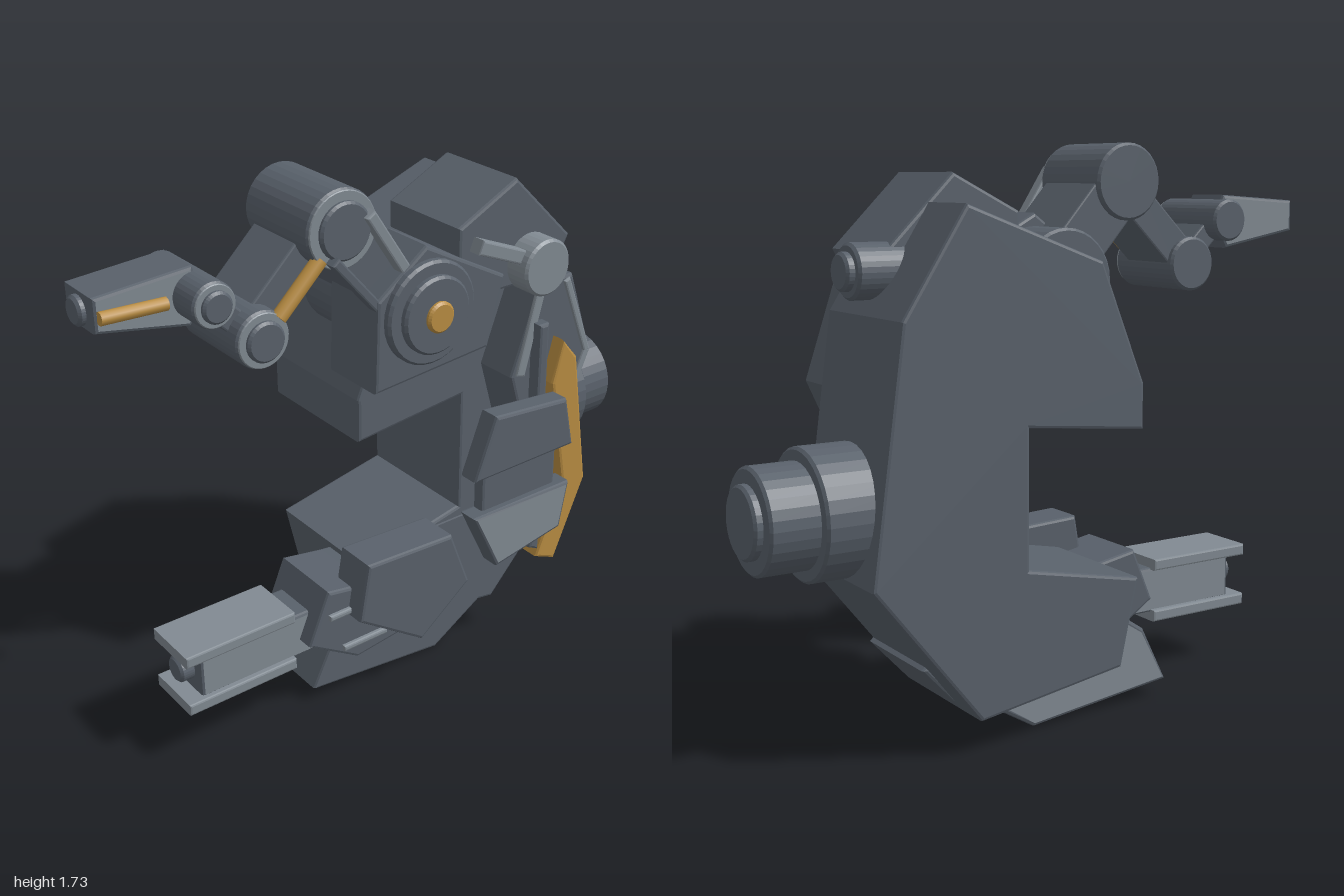
import * as THREE from 'three';

const mat = (name, color) => {
  const m = new THREE.MeshStandardMaterial({ color });
  m.name = name;
  return m;
};

export function createModel() {
  const root = new THREE.Group();
  const dark = mat('slate', 0x59616b);
  const light = mat('lightGrey', 0x818a92);
  const amber = mat('amber', 0xb98d42);

  const add = (name, geometry, material) => {
    const m = new THREE.Mesh(geometry, material);
    m.name = name;
    root.add(m);
    return m;
  };

  // bevelled outline plate between two depths
  const plate = (name, pts, z0, z1, material = dark, b = 0.01) => {
    const shape = new THREE.Shape(pts.map(p => new THREE.Vector2(p[0], p[1])));
    const g = new THREE.ExtrudeGeometry(shape, {
      depth: z1 - z0 - 2 * b, bevelEnabled: b > 0, bevelThickness: b,
      bevelSize: b, bevelOffset: -b, bevelSegments: 2, curveSegments: 24
    });
    g.translate(0, 0, z0 + b);
    return add(name, g, material);
  };

  // drum with chamfered rims, along z or x
  const drum = (name, a, b, r, from, to, material = dark, axis = 'z') => {
    const c = Math.min(0.008, (to - from) / 3), h = to - from;
    const pts = [[0, 0], [r - c, 0], [r, c], [r, h - c], [r - c, h], [0, h]];
    const g = new THREE.LatheGeometry(pts.map(p => new THREE.Vector2(p[0], p[1])), 32).toNonIndexed();
    g.computeVertexNormals();
    if (axis === 'z') g.rotateX(Math.PI / 2).translate(a, b, from);
    else g.rotateZ(-Math.PI / 2).translate(from, a, b);
    return add(name, g, material);
  };

  // straight bar with rectangular section between two points in the front plane
  const bar = (name, p, q, w, z0, z1, material = dark) => {
    const dx = q[0] - p[0], dy = q[1] - p[1], l = Math.hypot(dx, dy);
    const nx = -dy / l * w / 2, ny = dx / l * w / 2;
    return plate(name, [[p[0] - nx, p[1] - ny], [q[0] - nx, q[1] - ny],
      [q[0] + nx, q[1] + ny], [p[0] + nx, p[1] + ny]], z0, z1, material, 0.006);
  };

  // round rod
  const rod = (name, p, q, r, z, material) => {
    const path = new THREE.LineCurve3(new THREE.Vector3(p[0], p[1], z), new THREE.Vector3(q[0], q[1], z));
    const m = add(name, new THREE.CylinderGeometry(r, r, path.getLength(), 12), material);
    m.position.copy(path.getPoint(0.5));
    m.quaternion.setFromUnitVectors(new THREE.Vector3(0, 1, 0), path.getTangent(0));
  };

  // main C-shaped frame
  plate('frame', [[0.72, 0.54], [0.62, 1.26], [0.42, 1.567], [-0.03, 1.4], [-0.18, 1.04],
    [-0.18, 0.9], [0.22, 0.94], [0.22, 0.53], [-0.17, 0.45], [-0.11, 0.18], [0.38, 0.11]], -0.4, 0.05);
  const jaw = [[-0.37, 0.06], [0.13, 0.005], [0.32, 0.12], [0.38, 0.11], [0.51, 0.25], [0.45, 0.3],
    [0.3, 0.5], [0.1, 0.5], [-0.1, 0.36], [-0.28, 0.24]];
  plate('lowerJaw', jaw, -0.287, 0.052);
  plate('jawBackFace', [[-0.355, 0.07], [0.13, 0.017], [0.3, 0.13], [0.2, 0.3], [-0.1, 0.34], [-0.27, 0.23]],
    -0.29, -0.285, light, 0);
  plate('topHousing', [[0.12, 1.54], [0.34, 1.65], [0.563, 1.43], [0.5, 1.31], [0.12, 1.31]], -0.19, 0.145);

  // side exhaust drums and small upper peg
  [[0.19, 0.6, 0.83], [0.152, 0.82, 0.975], [0.105, 0.96, 1.0]].forEach(([r, a, b], i) =>
    drum('exhaust' + (i + 1), 0.725, -0.175, r, a, b, dark, 'x'));
  drum('upperPeg', 1.38, -0.145, 0.08, 0.45, 0.655, dark, 'x');
  drum('upperPegCap', 1.38, -0.145, 0.055, 0.64, 0.68, dark, 'x');

  // front shoulder plate with light trim
  plate('shoulderPlate', [[0.3, 1.03], [0.41, 1.32], [0.54, 1.32], [0.635, 1.04], [0.52, 0.79], [0.37, 0.79]], 0.04, 0.195);
  bar('leftTrim', [0.4, 1.29], [0.33, 1.03], 0.035, 0.19, 0.205, light);
  bar('rightTrimUpper', [0.51, 1.31], [0.615, 1.04], 0.025, 0.19, 0.205, light);
  bar('rightTrimLower', [0.615, 1.05], [0.55, 0.9], 0.025, 0.19, 0.205, light);
  plate('spineStrip', [[0.375, 0.4], [0.415, 0.38], [0.415, 1.2], [0.375, 1.2]], 0.04, 0.235);
  plate('amberPlate', [[0.47, 1.13], [0.53, 1.06], [0.6, 0.6], [0.48, 0.325], [0.4, 0.36],
    [0.5, 0.6], [0.43, 0.99]], 0.17, 0.245, amber);
  drum('shoulderDisc', 0.4, 1.38, 0.09, 0.13, 0.23, light);
  bar('shoulderRod', [0.16, 1.49], [0.38, 1.4], 0.045, 0.15, 0.2, light);

  // half-round guides behind the clamp
  [[0.165, 0.253, 0.286], [0.12, 0.284, 0.305]].forEach(([r, z0, z1], i) => {
    const pts = [];
    for (let k = 0; k <= 16; k++) {
      const a = -Math.PI / 2 + Math.PI * k / 16;
      pts.push([0.21 + r * Math.cos(a), 0.79 + r * Math.sin(a)]);
    }
    plate('clampGuide' + (i + 1), pts, z0, z1, dark, 0.004);
  });

  // floating clamp
  plate('clampUpper', [[0.06, 1.055], [0.34, 1.03], [0.375, 0.865], [-0.015, 0.86]], 0.33, 0.402);
  plate('clampLower', [[-0.015, 0.735], [0.08, 0.535], [0.34, 0.58], [0.37, 0.735]], 0.33, 0.402, [light, dark]);
  plate('clampBridge', [[0.035, 0.7], [0.33, 0.7], [0.33, 0.9], [0.035, 0.9]], 0.333, 0.375);

  // lower finger
  plate('fingerKnuckle', [[-0.42, 0.28], [-0.345, 0.455], [-0.2, 0.43], [0.05, 0.4], [0.05, 0.2], [-0.24, 0.165]], -0.15, 0.11);
  plate('fingerCover', [[-0.24, 0.545], [0.09, 0.53], [0.165, 0.33], [-0.03, 0.18], [-0.275, 0.35]], 0.03, 0.178);
  plate('fingerCore', [[-0.775, 0.22], [-0.14, 0.22], [-0.3, 0.37], [-0.775, 0.37]], -0.11, 0.05, [light, dark]);
  for (const y of [0.21, 0.383]) bar('fingerRail', [-0.83, y], [-0.445, y], 0.038, -0.13, 0.07, light);
  drum('fingerTip', 0.3, -0.03, 0.043, -0.82, -0.76, dark, 'x');
  bar('fingerRod', [-0.35, 0.365], [-0.2, 0.365], 0.02, 0.1, 0.125, light);
  bar('fingerRod', [-0.3, 0.23], [-0.13, 0.23], 0.02, 0.1, 0.125, light);

  // arm base
  plate('armHousing', [[-0.205, 1.115], [-0.195, 1.4], [-0.02, 1.53], [0.28, 1.37], [0.22, 1.15]], -0.06, 0.17);
  drum('armPivot', -0.015, 1.33, 0.16, -0.24, 0.195);
  drum('armPivotCap', -0.015, 1.33, 0.12, 0.19, 0.22);
  drum('armPivotBolt', -0.015, 1.33, 0.048, 0.215, 0.237, amber);

  // arm joints: x, y, rim radius, cap radius, back, front
  const joints = { shoulder: [-0.28, 1.622, 0.117, 0.085, -0.185, 0.125],
    elbow: [-0.545, 1.365, 0.085, 0.06, -0.17, 0.12], wrist: [-0.685, 1.5, 0.066, 0.046, -0.185, 0.115] };
  for (const [n, [x, y, r, c, z0, z1]] of Object.entries(joints)) {
    drum(n + 'Joint', x, y, r, z0, z1);
    drum(n + 'Rim', x, y, r - 0.004, z1 - 0.003, z1 + 0.005, light);
    drum(n + 'Cap', x, y, c, z1, z1 + 0.022);
  }

  // arm links and pistons
  bar('upperLink', [-0.28, 1.62], [-0.03, 1.34], 0.17, -0.17, 0.1);
  bar('upperPiston', [-0.21, 1.66], [-0.06, 1.43], 0.035, 0.12, 0.165, light);
  bar('upperPiston', [-0.33, 1.55], [-0.15, 1.34], 0.03, 0.12, 0.165, dark);
  bar('forearm', [-0.28, 1.62], [-0.545, 1.365], 0.11, -0.15, 0.06);
  rod('forearmRod', [-0.49, 1.415], [-0.35, 1.55], 0.023, 0.115, amber);
  bar('wristLink', [-0.545, 1.365], [-0.685, 1.5], 0.07, -0.13, 0.07);

  // gripper
  plate('gripper', [[-0.98, 1.46], [-0.7, 1.41], [-0.65, 1.5], [-0.685, 1.58], [-0.98, 1.56]], -0.15, 0.012, [light, dark]);
  drum('gripperTip', 1.505, -0.07, 0.043, -1.0, -0.96, dark, 'x');
  rod('gripperRod', [-0.97, 1.507], [-0.775, 1.5], 0.019, 0.022, amber);

  return root;
}
